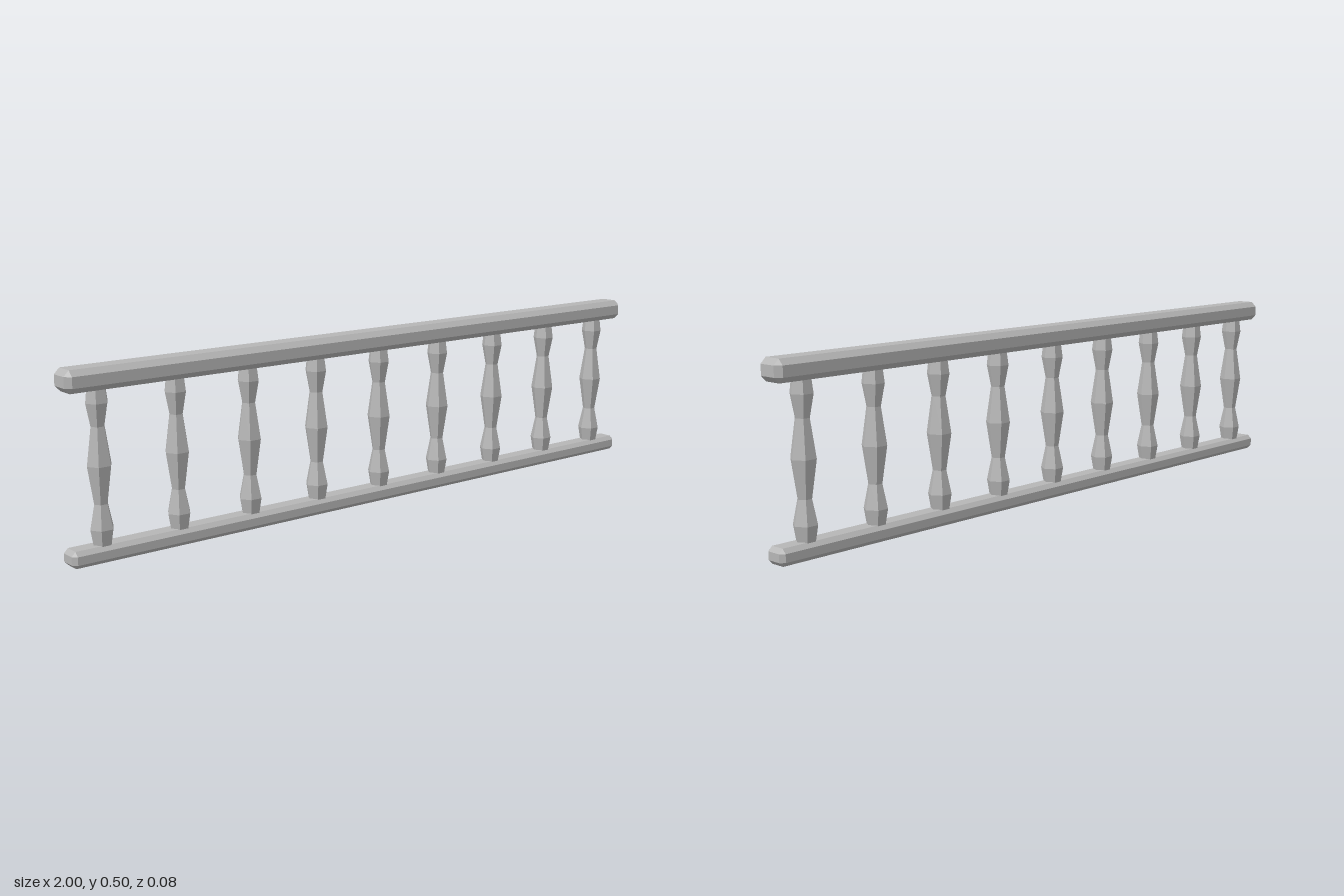
import * as THREE from 'three';
import { ConvexGeometry } from 'three/addons/geometries/ConvexGeometry.js';

// Box with every edge cut off at 45 degrees, from half sizes and cut width
function chamferedBox(hx, hy, hz, c) {
  const points = [];
  for (const sx of [-1, 1]) for (const sy of [-1, 1]) for (const sz of [-1, 1]) {
    points.push(
      new THREE.Vector3(sx * hx, sy * (hy - c), sz * (hz - c)),
      new THREE.Vector3(sx * (hx - c), sy * hy, sz * (hz - c)),
      new THREE.Vector3(sx * (hx - c), sy * (hy - c), sz * hz),
    );
  }
  return new ConvexGeometry(points);
}

export function createModel() {
  const model = new THREE.Group();
  model.name = 'balustrade';
  const stone = new THREE.MeshStandardMaterial({ color: 0xb6b6b6, flatShading: true });
  stone.name = 'grey stone';

  const add = (name, geometry, x, y) => {
    const mesh = new THREE.Mesh(geometry, stone);
    mesh.name = name;
    mesh.position.set(x, y, 0);
    model.add(mesh);
  };

  // Rails
  add('handrail', chamferedBox(1, 0.0295, 0.04, 0.015), 0, 0.474);
  add('bottomRail', chamferedBox(1, 0.0225, 0.032, 0.0115), 0, 0.0225);

  // Six-sided turned balusters, ends sunk into the rails
  const profile = [
    [0.0245, 0.035], [0.026, 0.045], [0.0328, 0.085], [0.019, 0.15],
    [0.0342, 0.25], [0.0193, 0.35], [0.031, 0.41], [0.0265, 0.445], [0.025, 0.455],
  ].map(([r, y]) => new THREE.Vector2(r, y));
  const baluster = new THREE.LatheGeometry(profile, 6, Math.PI / 2);
  for (let i = 0; i < 9; i++) add('baluster' + (i + 1), baluster, (i - 4) * 0.2255, 0);

  return model;
}
